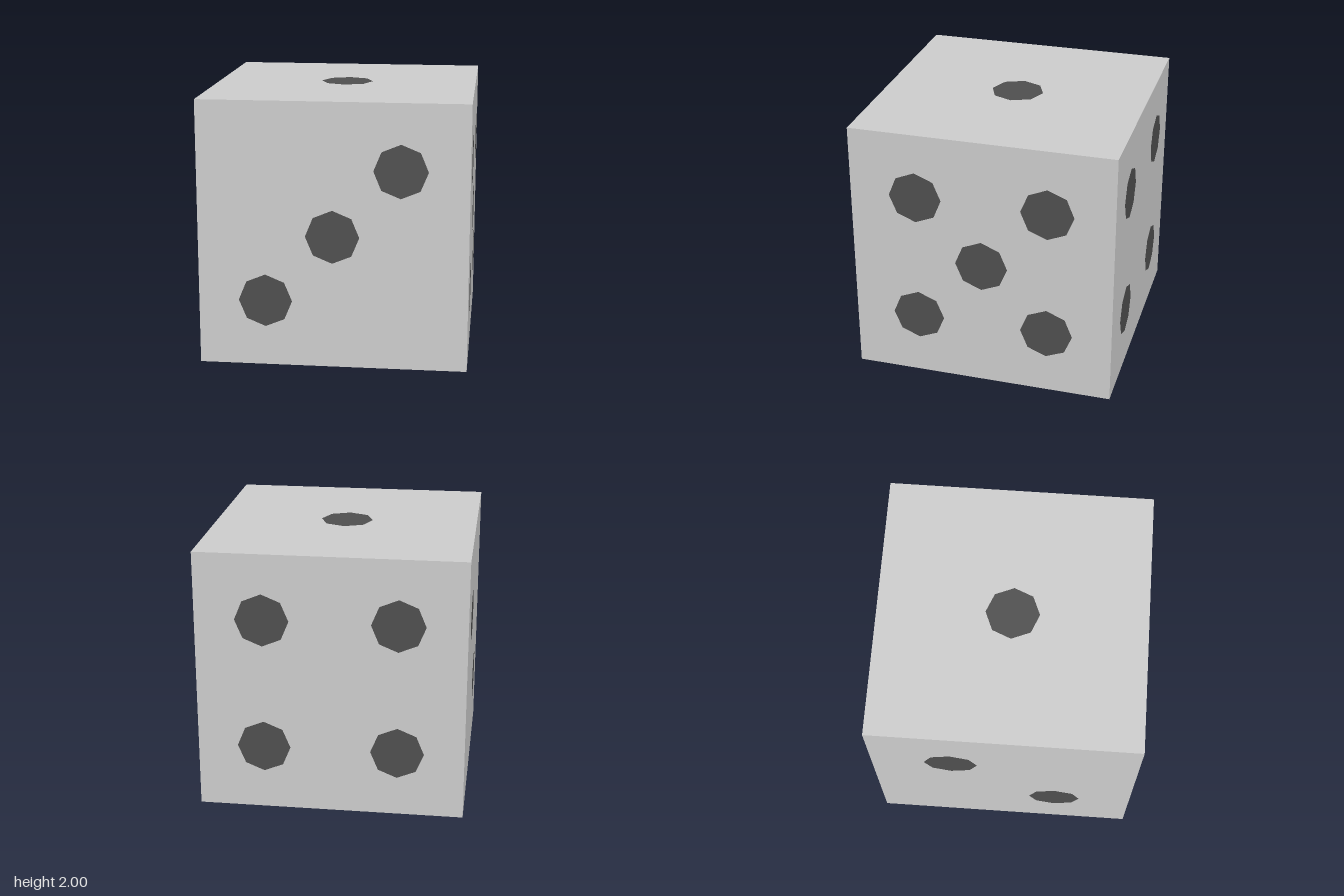
import * as THREE from 'three';

const HALF = 1;           // half the cube's edge
const PIP_RADIUS = 0.2;
const LIFT = 0.002;       // keeps the pips clear of the face behind them

// Pip layouts in each face's own right/up coordinates
const corners = [[-0.5, 0.5], [0.5, 0.5], [-0.5, -0.5], [0.5, -0.5]];
const faces = [
  { name: 'frontPips', rotation: [0, 0, 0], pips: [[-0.5, -0.5], [0, 0], [0.5, 0.5]] },
  { name: 'backPips', rotation: [0, Math.PI, 0], pips: corners },
  { name: 'leftPips', rotation: [0, Math.PI / 2, 0], pips: [...corners, [0, 0]] },
  { name: 'rightPips', rotation: [0, -Math.PI / 2, 0], pips: [[-0.4, 0.4], [0.4, -0.4]] },
  { name: 'topPips', rotation: [-Math.PI / 2, 0, 0], pips: [[0, 0]] },
  { name: 'bottomPips', rotation: [Math.PI / 2, 0, 0], pips: [...corners, [-0.5, 0], [0.5, 0]] },
];

export function createModel() {
  const model = new THREE.Group();
  model.name = 'die';

  const bodyMaterial = new THREE.MeshStandardMaterial({ color: 0xcccccc });
  const pipMaterial = new THREE.MeshStandardMaterial({ color: 0x4e4e4e });

  // Sharp-edged cube
  const body = new THREE.Mesh(new THREE.BoxGeometry(2 * HALF, 2 * HALF, 2 * HALF), bodyMaterial);
  body.name = 'cube';
  body.position.y = HALF;
  model.add(body);

  // Flat octagonal pips, one group per face
  const pipGeometry = new THREE.CircleGeometry(PIP_RADIUS, 8);
  for (const { name, rotation, pips } of faces) {
    const face = new THREE.Group();
    face.name = name;
    face.position.y = HALF;
    face.rotation.set(...rotation);
    for (const [u, v] of pips) {
      const pip = new THREE.Mesh(pipGeometry, pipMaterial);
      pip.name = 'pip';
      pip.position.set(u, v, HALF + LIFT);
      face.add(pip);
    }
    model.add(face);
  }
  return model;
}
